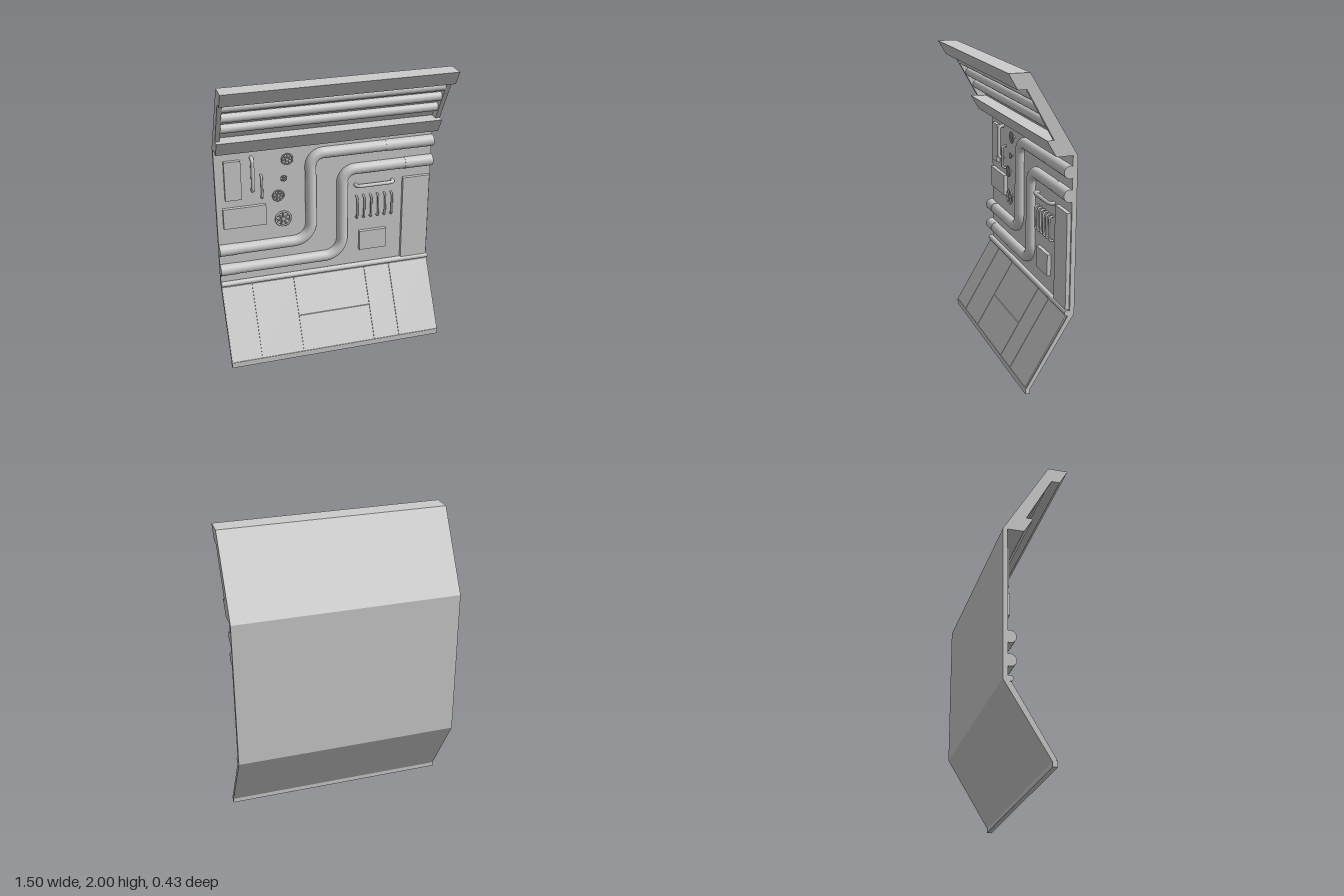
import * as THREE from 'three';

const WALL = -0.185; // front face of the upright wall
const HALF = 0.75;   // half width
const mat = new THREE.MeshStandardMaterial({ color: 0xcccccc });

export function createModel() {
  const root = new THREE.Group();
  const add = (name, geo, x = 0, y = 0, z = 0, parent = root) => {
    const m = new THREE.Mesh(geo, mat);
    m.name = name;
    m.position.set(x, y, z);
    parent.add(m);
    return m;
  };

  // Side profile of [z, y] points, extruded from x0 to x1
  const slab = (name, pts, x0, x1) => {
    const shape = new THREE.Shape(pts.map(([z, y]) => new THREE.Vector2(-z, y)));
    const geo = new THREE.ExtrudeGeometry(shape, { depth: x1 - x0, bevelEnabled: false });
    return add(name, geo.rotateY(Math.PI / 2), x0);
  };

  // Box standing on the wall
  const plate = (name, x0, x1, y0, y1, depth) =>
    add(name, new THREE.BoxGeometry(x1 - x0, y1 - y0, depth), (x0 + x1) / 2, (y0 + y1) / 2, WALL + depth / 2);

  // Tube through corner points, each inner corner rounded by its bend radius
  const bentTube = (name, pts, bends, r, segments, sides) => {
    const v = pts.map(p => new THREE.Vector3(...p));
    const path = new THREE.CurvePath();
    let from = v[0];
    for (let i = 1; i < v.length - 1; i++) {
      const b = bends[i - 1];
      const a = v[i].clone().add(v[i - 1].clone().sub(v[i]).setLength(b));
      const c = v[i].clone().add(v[i + 1].clone().sub(v[i]).setLength(b));
      path.add(new THREE.LineCurve3(from, a));
      path.add(new THREE.CubicBezierCurve3(a, a.clone().lerp(v[i], 0.552), c.clone().lerp(v[i], 0.552), c));
      from = c;
    }
    path.add(new THREE.LineCurve3(from, v[v.length - 1]));
    return add(name, new THREE.TubeGeometry(path, segments, r, sides));
  };

  const rod = (name, x0, x1, y, z, r) =>
    add(name, new THREE.CylinderGeometry(r, r, x1 - x0, 24).rotateZ(Math.PI / 2), (x0 + x1) / 2, y, z);

  // Shell: overhanging top with a recess, upright wall, sloping skirt and lip
  const backZ = y => -0.215 + (y - 1.5) * 0.6;
  slab('shell', [
    [0.085, 2], [-0.215, 1.5], [-0.215, 0.5], [0.07, 0.03], [0.07, 0], [0.1, 0], [0.1, 0.04],
    [0.092, 0.04], [-0.172, 0.485], [WALL, 0.51], [WALL, 1.5], [-0.08, 1.5], [-0.02, 1.6],
    [backZ(1.6) + 0.03, 1.6], [backZ(1.905) + 0.03, 1.905], [0.16, 1.905], [0.215, 2],
  ], -HALF, HALF);

  // Recess end rails and the rods between them
  for (const x0 of [-HALF, HALF - 0.03]) {
    slab('recessEndRail', [
      [backZ(1.905), 1.905], [backZ(1.6), 1.6], [-0.065, 1.6], [0.105, 1.905],
    ], x0, x0 + 0.03);
  }
  for (const y of [1.86, 1.775, 1.685]) rod('recessRod', -0.72, 0.72, y, backZ(y) + 0.046, 0.03);

  // Skirt panels, separated by fine seams
  const frontZ = y => 0.1 - (y - 0.04) * 0.589;
  const skirtPanels = [
    [-0.75, -0.54, 0.04, 0.488], [-0.54, -0.245, 0.04, 0.488], [-0.245, 0.27, 0.04, 0.255],
    [-0.245, 0.27, 0.255, 0.488], [0.27, 0.455, 0.04, 0.488], [0.455, 0.742, 0.04, 0.488],
  ];
  const gap = 0.002;
  for (const [x0, x1, y0, y1] of skirtPanels) {
    const a = y0 + gap, b = y1 - gap;
    slab('skirtPanel', [[frontZ(b), b], [frontZ(b) - 0.012, b], [frontZ(a) - 0.012, a], [frontZ(a), a]], x0 + gap, x1 - gap);
  }
  rod('skirtRail', -HALF, HALF, 0.507, -0.17, 0.019);

  // Two large S-shaped pipes with end sleeves
  const pipeZ = -0.171;
  for (const [x, top, low, sleeve] of [[-0.11, 1.4, 0.77, 0.41], [0.11, 1.255, 0.62, 0.55]]) {
    bentTube('pipe', [[HALF, top, pipeZ], [x, top, pipeZ], [x, low, pipeZ], [-HALF, low, pipeZ]], [0.09, 0.125], 0.038, 160, 20);
    rod('pipeSleeve', sleeve, HALF, top, pipeZ, 0.04);
    rod('pipeSleeve', -HALF, -0.63, low, pipeZ, 0.04);
  }

  // Boxes and the tall cover
  plate('controlBox', -0.69, -0.58, 1.135, 1.41, 0.025);
  plate('controlBox', -0.71, -0.42, 0.93, 1.075, 0.025);
  plate('controlBox', 0.235, 0.43, 0.63, 0.775, 0.025);
  plate('tallCover', 0.545, 0.738, 0.525, 1.145, 0.025);

  // Thin handles with ends bent into the wall
  const handle = (x0, y0, x1, y1, r, out) => bentTube('handle', [
    [x0, y0, WALL], [x0, y0, WALL + out], [x1, y1, WALL + out], [x1, y1, WALL],
  ], [out * 0.7, out * 0.7], r, 60, 10);
  handle(-0.505, 1.187, -0.505, 1.417, 0.013, 0.035);
  handle(-0.445, 1.128, -0.445, 1.285, 0.008, 0.03);
  handle(0.208, 1.13, 0.472, 1.13, 0.013, 0.035);
  for (let i = 0; i < 6; i++) handle(0.215 + i * 0.05, 0.882, 0.215 + i * 0.05, 1.043, 0.007, 0.03);

  // Valve wheels: rim, hub, spokes and stem
  for (const [x, y, r] of [[-0.27, 1.385, 0.042], [-0.295, 1.25, 0.023], [-0.335, 1.13, 0.042], [-0.305, 0.955, 0.058]]) {
    const wheel = new THREE.Group();
    wheel.name = 'valveWheel';
    wheel.position.set(x, y, WALL);
    root.add(wheel);
    const t = r * 0.12;
    add('rim', new THREE.TorusGeometry(r - t, t, 8, 32), 0, 0, 0.022, wheel);
    add('hub', new THREE.CylinderGeometry(r * 0.22, r * 0.22, 0.03, 16).rotateX(Math.PI / 2), 0, 0, 0.015, wheel);
    for (let i = 0; i < 7; i++) {
      const spoke = new THREE.CylinderGeometry(t * 0.8, t * 0.8, r - t, 6).translate(0, (r - t) / 2, 0);
      add('spoke', spoke, 0, 0, 0.022, wheel).rotation.z = (i / 7) * Math.PI * 2;
    }
  }
  return root;
}
